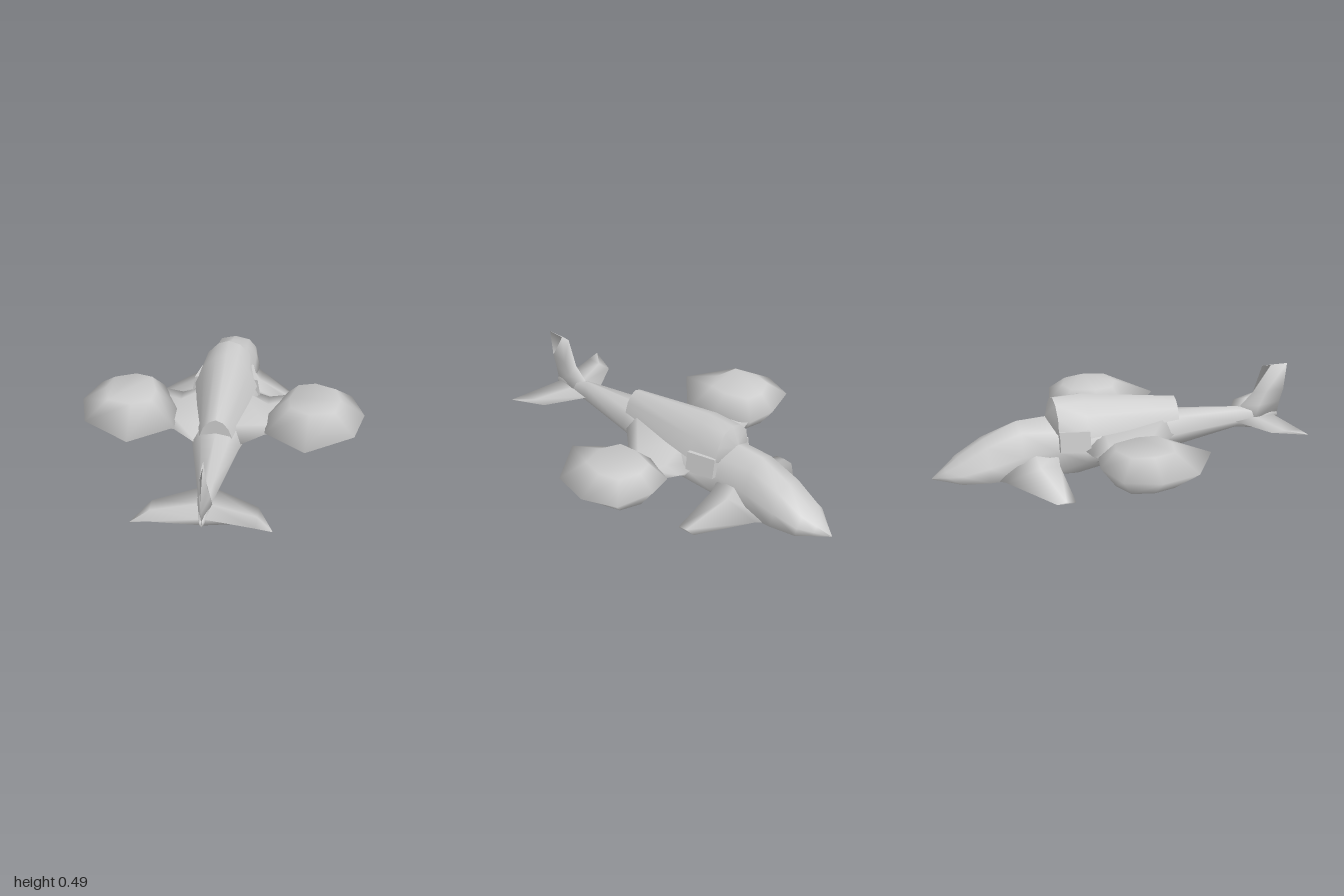
import * as THREE from 'three';
import { toCreasedNormals } from 'three/addons/utils/BufferGeometryUtils.js';

const material = new THREE.MeshStandardMaterial({ color: 0xcccccc });

// Skin a list of closed rings; rings run counter-clockwise seen from the last one.
// Edges bent more than the crease angle stay sharp.
function loft(name, rings, { mirror = false, crease = Math.PI } = {}) {
  if (mirror) rings = rings.map(r => r.map(([x, y, z]) => [-x, y, z]).reverse());
  const n = rings[0].length, last = (rings.length - 1) * n, index = [];
  for (let k = 0; k < last; k += n) {
    for (let i = 0; i < n; i++) {
      const j = (i + 1) % n;
      index.push(k + i, k + j, k + n + j, k + i, k + n + j, k + n + i);
    }
  }
  for (let i = 1; i < n - 1; i++) {
    index.push(0, i + 1, i, last, last + i, last + i + 1);
  }
  const geometry = new THREE.BufferGeometry();
  geometry.setAttribute('position', new THREE.Float32BufferAttribute(rings.flat(2), 3));
  geometry.setIndex(index);
  const mesh = new THREE.Mesh(toCreasedNormals(geometry, crease), material);
  mesh.name = name;
  return mesh;
}

// Symmetric section at z: bottom centre, side points going up, top centre.
function section(z, bottom, sides, top) {
  const half = sides.map(([x, y]) => [x, y, z]);
  const other = half.map(([x, y]) => [-x, y, z]).reverse();
  return [[0, bottom, z], ...half, [0, top, z], ...other];
}

// Wing section at x from [z, y] pairs: leading edge, over the top, trailing edge, underside.
const rib = (x, ...points) => points.map(([z, y]) => [x, y, z]);

// Fin section at height y: leading z, thickest z, trailing z, half width.
const slice = (y, lead, mid, trail, w) => [[w, y, mid], [0, y, lead], [-w, y, mid], [0, y, trail]];

export function createModel() {
  const group = new THREE.Group();

  // Body from nose to tail, with a V-shaped keel
  group.add(loft('fuselage', [
    section(-1, 0.078, [[0.003, 0.079], [0.003, 0.08], [0.002, 0.082]], 0.083),
    section(-0.93, 0.055, [[0.06, 0.08], [0.055, 0.1], [0.035, 0.125]], 0.132),
    section(-0.86, 0.042, [[0.12, 0.08], [0.11, 0.12], [0.07, 0.17]], 0.185),
    section(-0.72, 0.03, [[0.145, 0.08], [0.125, 0.15], [0.08, 0.25]], 0.27),
    section(-0.54, 0.022, [[0.15, 0.08], [0.13, 0.19], [0.085, 0.31]], 0.35),
    section(-0.36, 0.013, [[0.13, 0.085], [0.125, 0.2], [0.1, 0.3]], 0.358),
    section(-0.21, 0.006, [[0.185, 0.145], [0.188, 0.2], [0.14, 0.29]], 0.35),
    section(0, 0.045, [[0.18, 0.152], [0.185, 0.21], [0.12, 0.275]], 0.34),
    section(0.33, 0.09, [[0.1, 0.165], [0.12, 0.21], [0.075, 0.29]], 0.305),
    section(0.7, 0.158, [[0.04, 0.185], [0.05, 0.21], [0.03, 0.265]], 0.28),
    section(0.87, 0.132, [[0.02, 0.17], [0.025, 0.21], [0.015, 0.235]], 0.25),
    section(0.95, 0.185, [[0.01, 0.195], [0.01, 0.21], [0.006, 0.215]], 0.22),
  ]));

  // Raised engine cover behind the cockpit, with a pointed front lip
  group.add(loft('engineCover', [
    section(-0.388, 0.3, [[0.008, 0.32], [0.007, 0.34], [0.004, 0.355]], 0.36),
    section(-0.347, 0.25, [[0.13, 0.29], [0.115, 0.375], [0.06, 0.435]], 0.455),
    section(-0.19, 0.22, [[0.17, 0.27], [0.125, 0.375], [0.06, 0.438]], 0.46),
    section(0.335, 0.25, [[0.085, 0.28], [0.065, 0.335], [0.035, 0.37]], 0.385),
  ], { crease: 0.8 }));

  // Upright tail fin
  group.add(loft('tailFin', [
    slice(0.2, 0.7, 0.8, 0.95, 0.038),
    slice(0.28, 0.73, 0.83, 0.965, 0.03),
    slice(0.35, 0.8, 0.87, 0.985, 0.021),
    slice(0.5, 0.85, 0.9, 1, 0.003),
  ]));

  // Swept tailplane in one span, flat on top with a keel below
  const tip = x => rib(x, [0.972, 0.21], [0.976, 0.212], [0.98, 0.21], [0.976, 0.208]);
  const bend = x => rib(x, [0.8, 0.211], [0.88, 0.213], [0.965, 0.211], [0.9, 0.194]);
  const root = rib(0, [0.65, 0.21], [0.8, 0.215], [0.92, 0.21], [0.87, 0.132]);
  group.add(loft('tailplane', [tip(-0.34), bend(-0.26), root, bend(0.26), tip(0.34)]));

  for (const mirror of [false, true]) {
    const side = mirror ? 'right' : 'left';
    const add = (name, rings, crease) => group.add(loft(side + name, rings, { mirror, crease }));

    // Small downswept wing beside the nose, deep along its rear root
    add('FrontWing', [
      rib(0.09, [-0.74, 0.085], [-0.48, 0.24], [-0.345, 0.2], [-0.345, 0.05]),
      rib(0.17, [-0.645, 0.083], [-0.46, 0.14], [-0.355, 0.135], [-0.355, 0.072]),
      rib(0.41, [-0.44, 0.037], [-0.39, 0.044], [-0.34, 0.04], [-0.345, 0.034]),
    ]);

    // Wing root joining body and pod, lowest where they meet
    add('WingRoot', [
      rib(0.08, [-0.25, 0.22], [-0.1, 0.31], [0.25, 0.3], [0.34, 0.22], [0.2, 0.13], [-0.15, 0.09]),
      rib(0.24, [-0.2, 0.2], [-0.1, 0.215], [0.1, 0.215], [0.17, 0.2], [0.1, 0.165], [-0.12, 0.16]),
      rib(0.36, [-0.18, 0.235], [-0.1, 0.25], [0.1, 0.25], [0.2, 0.235], [0.1, 0.17], [-0.1, 0.16]),
    ]);

    // Broad rounded pod: flat plates above and below a wider rim
    const plate = [[0.63, 0], [0.6, -0.11], [0.49, -0.155], [0.4, -0.13],
      [0.36, 0], [0.37, 0.1], [0.47, 0.15], [0.6, 0.12]];
    const rim = [[0.76, 0.245, 0], [0.69, 0.245, -0.18], [0.49, 0.245, -0.235], [0.34, 0.235, -0.2],
      [0.24, 0.21, 0], [0.24, 0.21, 0.17], [0.46, 0.24, 0.37], [0.71, 0.245, 0.21]];
    const plateAt = y => plate.map(([x, z]) => [x, y, z]);
    add('Pod', [plateAt(0.137), rim, plateAt(0.33)]);

    // Slanted intake box at the shoulder
    add('Intake', [[-0.345, 0.155], [-0.19, 0.19]].map(([z, x]) => [
      [0.1, 0.2, z], [x, 0.2, z], [x - 0.018, 0.31, z], [0.1, 0.31, z],
    ]), 0.8);
  }
  return group;
}
